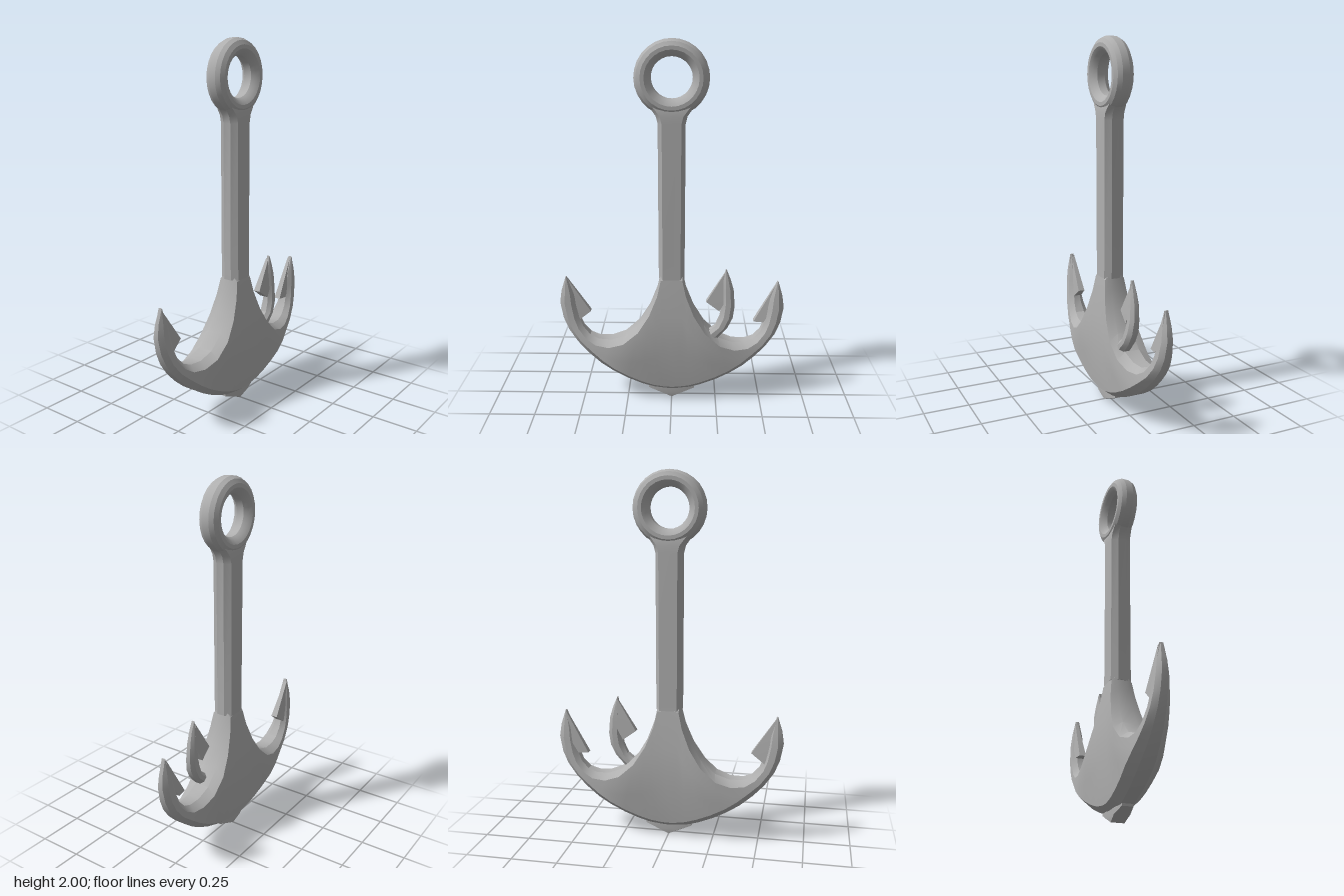
import * as THREE from 'three';
import { toCreasedNormals } from 'three/addons/utils/BufferGeometryUtils.js';
import { ConvexGeometry } from 'three/addons/geometries/ConvexGeometry.js';

const lerp = THREE.MathUtils.lerp;
const crease = (geometry) => toCreasedNormals(geometry, 0.45);

// Closed skin over a row of equal-length rings, capped at both ends.
function loft(rings) {
  const n = rings[0].length, tris = [];
  for (let i = 0; i < rings.length - 1; i++) {
    for (let j = 0; j < n; j++) {
      const k = (j + 1) % n;
      const a = rings[i][j], b = rings[i][k], c = rings[i + 1][k], d = rings[i + 1][j];
      tris.push([a, b, c], [a, c, d]);
    }
  }
  const last = rings[rings.length - 1];
  for (let j = 0; j < n / 2 - 1; j++) {
    // Strip caps between the front and back halves of each ring
    for (const [r, flip] of [[rings[0], true], [last, false]]) {
      const q = [r[j], r[j + 1], r[n - 2 - j], r[n - 1 - j]];
      if (flip) q.reverse();
      tris.push([q[0], q[1], q[2]], [q[0], q[2], q[3]]);
    }
  }
  // Make every face point outward
  const cross = new THREE.Vector3();
  const volume = tris.reduce((v, [a, b, c]) => v + a.dot(cross.crossVectors(b, c)), 0);
  if (volume < 0) tris.forEach((t) => t.reverse());
  return crease(new THREE.BufferGeometry().setFromPoints(tris.flat()));
}

// Bevelled slab section running from an inner edge point to an outer edge point.
function section(ix, iy, ox, oy, depthAt, zc) {
  const len = Math.hypot(ox - ix, oy - iy);
  const b = Math.min(0.035 / len, 0.3);
  const steps = [0, b, lerp(b, 1 - b, 0.33), lerp(b, 1 - b, 0.67), 1 - b, 1];
  const side = (s) => steps.map((t, i) => {
    const x = lerp(ix, ox, t), y = lerp(iy, oy, t);
    const edge = i === 0 || i === steps.length - 1 ? 0.45 : 1;
    return new THREE.Vector3(x, y, zc + s * edge * depthAt(y));
  });
  return [...side(1), ...side(-1).reverse()];
}

// Half-thickness of the crown by height
const profile = [[0.04, 0.062], [0.1, 0.078], [0.36, 0.1], [0.5, 0.085], [0.72, 0.056], [0.8, 0.053]];
function crownDepth(y) {
  for (let i = 1; i < profile.length; i++) {
    const [y0, d0] = profile[i - 1], [y1, d1] = profile[i];
    if (y <= y1) return lerp(d0, d1, Math.max(0, (y - y0) / (y1 - y0)));
  }
  return 0.053;
}

export function createModel() {
  const group = new THREE.Group();
  const iron = new THREE.MeshStandardMaterial({ color: 0xb0b0b0 });
  iron.name = 'iron grey';
  const add = (name, geometry) => {
    const mesh = new THREE.Mesh(geometry, iron);
    mesh.name = name;
    group.add(mesh);
    return mesh;
  };

  // Crown and both arms: inner x, y, outer x, y, greatest half-thickness
  const stations = [
    [0, 0.76, 0, 0.045, 0.1], [0.06, 0.75, 0.04, 0.048, 0.1],
    [0.078, 0.66, 0.1, 0.058, 0.1], [0.12, 0.55, 0.17, 0.08, 0.1],
    [0.18, 0.45, 0.25, 0.113, 0.1], [0.26, 0.375, 0.33, 0.155, 0.092],
    [0.34, 0.345, 0.4, 0.2, 0.08], [0.41, 0.345, 0.47, 0.258, 0.068],
    [0.46, 0.365, 0.53, 0.32, 0.058], [0.5, 0.41, 0.58, 0.39, 0.048],
    [0.52, 0.46, 0.61, 0.46, 0.04], [0.535, 0.53, 0.627, 0.55, 0.033],
    [0.55, 0.6, 0.617, 0.62, 0.026], [0.587, 0.7, 0.593, 0.7, 0.01],
  ];
  const arm = (s) => stations.map(([ix, iy, ox, oy, d]) => {
    const bend = (ox / 0.6) ** 2;
    const dy = -s * 0.01 * bend;
    return section(s * ix, iy + dy, s * ox, oy + dy, (y) => Math.min(d, crownDepth(y)), -0.02 * bend);
  });
  add('crownAndArms', loft([...arm(-1).reverse(), ...arm(1).slice(1)]));

  // Shank: y, half-width, half-depth
  const shank = [
    [0.72, 0.07, 0.057], [0.8, 0.071, 0.056], [1.57, 0.073, 0.056],
    [1.61, 0.083, 0.055], [1.64, 0.105, 0.052], [1.67, 0.13, 0.045],
  ].map(([y, w, d]) => {
    const f = w - 0.022, e = 0.022;
    return [[-w, e], [-f, d], [f, d], [w, e], [w, -e], [f, -d], [-f, -d], [-w, -e]]
      .map(([x, z]) => new THREE.Vector3(x, y, z));
  });
  add('shank', loft(shank));

  // Eye ring at the top
  const half = [[0.108, 0.022], [0.122, 0.043], [0.142, 0.057], [0.162, 0.057], [0.184, 0.043], [0.196, 0.02]];
  const ringPoints = [
    ...half.map(([r, y]) => new THREE.Vector2(r, -y)),
    ...half.map(([r, y]) => new THREE.Vector2(r, y)).reverse(),
    new THREE.Vector2(half[0][0], -half[0][1]),
  ];
  const ring = add('eyeRing', crease(new THREE.LatheGeometry(ringPoints, 28)));
  ring.rotation.x = Math.PI / 2;
  ring.position.y = 1.804;

  // Small extra hook rising from the left side of the crown
  const hook = [
    [0.14, 0.4, 0.2, 0.33, 0.04, 0.02], [0.2, 0.41, 0.26, 0.375, 0.036, 0.025],
    [0.245, 0.445, 0.31, 0.43, 0.035, 0.024], [0.268, 0.5, 0.34, 0.49, 0.033, 0.02],
    [0.278, 0.56, 0.35, 0.56, 0.028, 0.016], [0.282, 0.64, 0.343, 0.65, 0.024, 0.014],
    [0.285, 0.7, 0.326, 0.71, 0.018, 0.015], [0.297, 0.77, 0.302, 0.77, 0.008, 0.016],
  ].map(([ix, iy, ox, oy, d, z]) => section(ix, iy, ox, oy, () => d, z));
  add('smallHook', loft(hook));

  // Barbs: thin at the tip, broad at the cut lower edge
  const barb = (name, z, tip, point, root, back) => {
    const points = [[tip, 0.008], [point, 0.019], [root, 0.026], [back, 0.022]]
      .flatMap(([[x, y], d]) => [new THREE.Vector3(x, y, z + d), new THREE.Vector3(x, y, z - d)]);
    add(name, crease(new ConvexGeometry(points)));
  };
  barb('leftBarb', -0.026, [0.585, 0.68], [0.46, 0.452], [0.515, 0.45], [0.585, 0.56]);
  barb('rightBarb', -0.026, [-0.585, 0.7], [-0.456, 0.507], [-0.53, 0.45], [-0.585, 0.57]);
  barb('smallHookBarb', 0.01, [0.297, 0.755], [0.192, 0.582], [0.265, 0.53], [0.315, 0.62]);

  // Pointed keel under the crown
  const keel = [[-0.13, 0.055, 0.03], [-0.06, 0.03, 0.042], [0, 0, 0.036], [0.06, 0.03, 0.042], [0.13, 0.055, 0.03]];
  const keelPoints = keel.flatMap(([x, y, d]) => [-1, 1].flatMap((s) => [
    new THREE.Vector3(x, y, s * d), new THREE.Vector3(x, 0.08, s * d),
  ]));
  add('keelPoint', crease(new ConvexGeometry(keelPoints)));

  return group;
}
